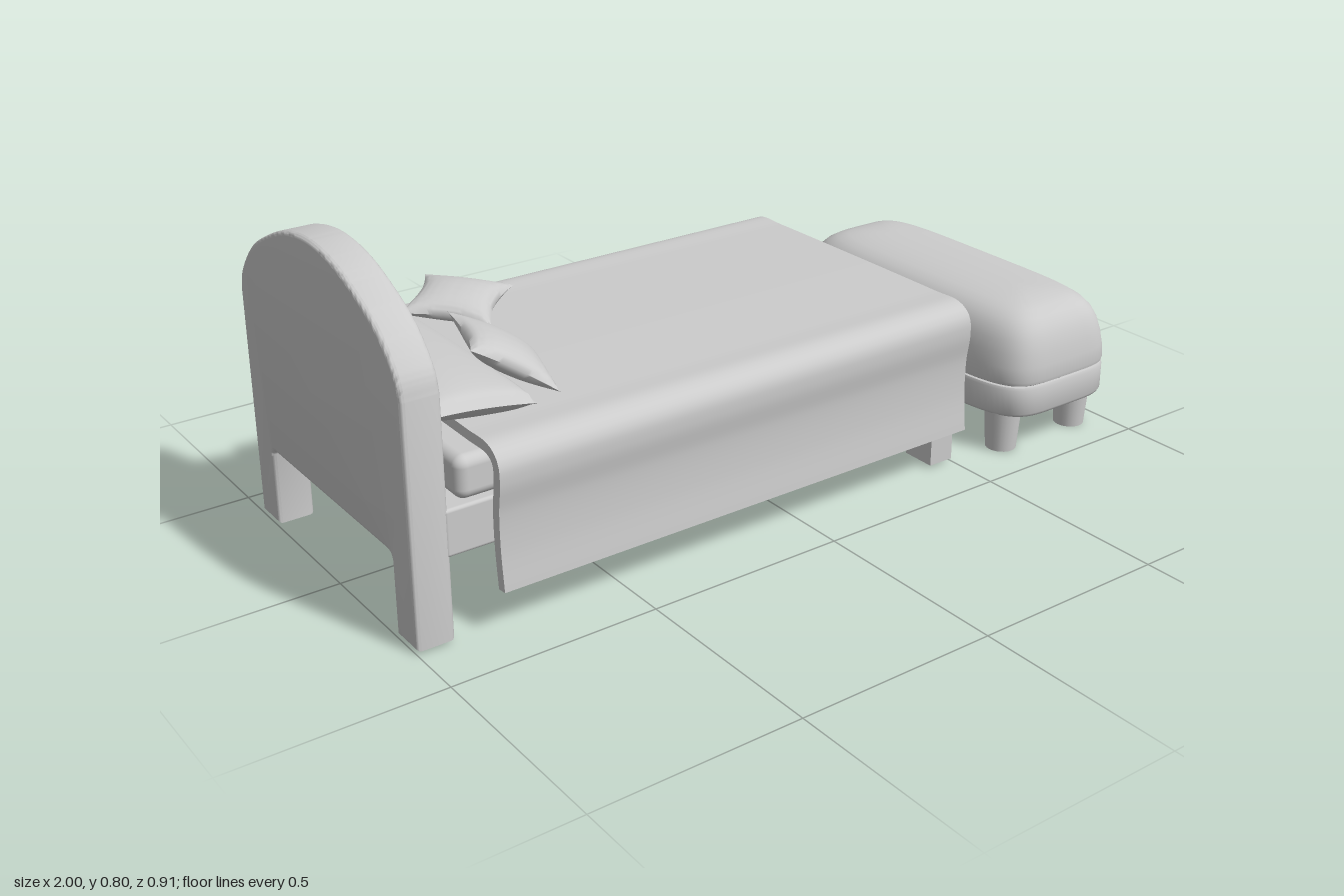
import * as THREE from 'three';
import { toCreasedNormals } from 'three/addons/utils/BufferGeometryUtils.js';
import { RoundedBoxGeometry } from 'three/addons/geometries/RoundedBoxGeometry.js';

const BED_Z = -0.025; // centre line of the bed
const STOOL = { x: 0.7975, z: 0.018, hx: 0.2025, hz: 0.438 };

const material = new THREE.MeshStandardMaterial({ color: 0xcccccc });
const openMaterial = new THREE.MeshStandardMaterial({ color: 0xcccccc, side: THREE.DoubleSide });

function add(parent, name, geometry, x = 0, y = 0, z = 0, mat = material) {
  const mesh = new THREE.Mesh(geometry, mat);
  mesh.name = name;
  mesh.position.set(x, y, z);
  parent.add(mesh);
  return mesh;
}

// Extrude a cross-section drawn across the bed along the x axis
function extrudeAlongX(shape, depth, bevel = 0, crease = 0.6) {
  const geo = new THREE.ExtrudeGeometry(shape, {
    depth: depth - 2 * bevel, curveSegments: 10, bevelEnabled: bevel > 0,
    bevelThickness: bevel, bevelSize: bevel, bevelOffset: -bevel, bevelSegments: 3,
  });
  geo.translate(0, 0, bevel).rotateY(Math.PI / 2);
  return toCreasedNormals(geo, crease);
}

// Arched board standing on two legs
function headboardGeometry() {
  const w = 0.385, leg = 0.295, bottom = 0.007, under = 0.2, f = 0.02;
  const arch = [[0.385, 0.57], [0.367, 0.625], [0.297, 0.7], [0.19, 0.757], [0.1, 0.788], [0, 0.8]];
  const right = arch.map(([x, y]) => new THREE.Vector2(x, y));
  const left = arch.slice(0, -1).reverse().map(([x, y]) => new THREE.Vector2(-x, y));
  const s = new THREE.Shape();
  s.moveTo(leg, bottom);
  s.lineTo(w, bottom);
  s.lineTo(w, 0.57);
  s.splineThru([...right.slice(1), ...left]);
  s.lineTo(-w, bottom);
  s.lineTo(-leg, bottom);
  s.lineTo(-leg, under - f);
  s.quadraticCurveTo(-leg, under, -leg + f, under);
  s.lineTo(leg - f, under);
  s.quadraticCurveTo(leg, under, leg, under - f);
  return extrudeAlongX(s, 0.09, 0.01);
}

// Thick sheet draped over the mattress, hanging in a slight wave at both sides
function blanketGeometry() {
  const half = [[0.42, 0.105], [0.411, 0.2], [0.411, 0.29], [0.42, 0.36], [0.415, 0.4],
    [0.388, 0.42], [0.3, 0.422]];
  const points = [...half, ...half.slice().reverse().map(([x, y]) => [-x, y])];
  const curve = new THREE.CatmullRomCurve3(points.map(([x, y]) => new THREE.Vector3(x, y, 0)));
  const outer = [], inner = [], n = 120, t = 0.0125;
  for (let i = 0; i <= n; i++) {
    const p = curve.getPointAt(i / n), d = curve.getTangentAt(i / n);
    outer.push(new THREE.Vector2(p.x + d.y * t, p.y - d.x * t));
    inner.push(new THREE.Vector2(p.x - d.y * t, p.y + d.x * t));
  }
  return extrudeAlongX(new THREE.Shape([...outer, ...inner.reverse()]), 1.31);
}

// Pillow: a grid puffed up in the middle, with drawn-in edges
function pillowGeometry(hx, hz, puff, pinch, power) {
  const geo = new THREE.BoxGeometry(2, 2, 2, 28, 1, 28);
  const p = geo.attributes.position;
  for (let i = 0; i < p.count; i++) {
    const u = p.getX(i), v = p.getZ(i);
    const a = Math.max(0, 1 - u * u), b = Math.max(0, 1 - v * v);
    p.setXYZ(i,
      u * hx - Math.sign(u) * u * u * b * pinch,
      Math.sign(p.getY(i)) * puff * Math.pow(a * b, power),
      v * hz - Math.sign(v) * v * v * a * pinch);
  }
  return toCreasedNormals(geo, 0.9);
}

// Stacked rounded-rectangle sections; profile entries are [inset, height]
function roundedSlab(profile, hx, hz) {
  const seg = 72, n = profile.length, e = 2 / 5;
  const geo = new THREE.LatheGeometry(profile.map(([d, y]) => new THREE.Vector2(hx - d, y)), seg);
  const p = geo.attributes.position;
  const power = (c) => Math.sign(c) * Math.pow(Math.abs(c), e);
  for (let i = 0; i <= seg; i++) {
    const a = ((i % seg) / seg) * Math.PI * 2;
    for (let j = 0; j < n; j++) {
      const d = profile[j][0];
      p.setX(i * n + j, (hx - d) * power(Math.sin(a)));
      p.setZ(i * n + j, (hz - d) * power(Math.cos(a)));
    }
  }
  return toCreasedNormals(geo, 0.75);
}

function createBed() {
  const bed = new THREE.Group();
  bed.name = 'bed';
  add(bed, 'headboard', headboardGeometry(), -1, 0, BED_Z);
  add(bed, 'bedFrame', new RoundedBoxGeometry(1.42, 0.11, 0.77, 2, 0.008), -0.21, 0.255, BED_Z);
  add(bed, 'mattress', new RoundedBoxGeometry(1.37, 0.1, 0.75, 4, 0.025), -0.195, 0.359, BED_Z);
  add(bed, 'blanket', blanketGeometry(), -0.815, 0, BED_Z);

  // Square foot legs, open underneath
  for (const side of [-1, 1]) {
    const leg = new THREE.CylinderGeometry(Math.SQRT1_2, Math.SQRT1_2, 1, 4, 1, true);
    leg.rotateY(Math.PI / 4).scale(0.07, 0.29, 0.09);
    add(bed, 'footLeg', toCreasedNormals(leg, 0.5), 0.465, 0.152, BED_Z + side * 0.34, openMaterial);
  }

  // Long pillow and two loose cushions
  const pillow = add(bed, 'pillow', pillowGeometry(0.123, 0.345, 0.047, 0.012, 0.32), -0.788, 0.483, BED_Z);
  pillow.rotation.z = -0.13;
  const flat = add(bed, 'flatCushion', pillowGeometry(0.112, 0.112, 0.034, 0.018, 0.5), -0.513, 0.465, -0.299);
  flat.rotation.set(0.09, Math.PI / 4, 0);
  const leaning = add(bed, 'leaningCushion', pillowGeometry(0.114, 0.116, 0.036, 0.018, 0.5), -0.622, 0.498, 0.105);
  leaning.rotation.set(0, -0.3, -0.57, 'YZX');
  return bed;
}

function createFootstool() {
  const stool = new THREE.Group();
  stool.name = 'footstool';
  stool.position.set(STOOL.x, 0, STOOL.z);
  const { hx, hz } = STOOL;
  const base = [[hx, 0.103], [0.012, 0.103], [0.004, 0.106], [0, 0.114], [0, 0.178],
    [0.003, 0.185], [0.01, 0.187], [hx, 0.187]];
  const cushion = [[hx, 0.187], [0.008, 0.187], [0.002, 0.191], [0, 0.2], [0.003, 0.235], [0.009, 0.27],
    [0.018, 0.302], [0.031, 0.328], [0.048, 0.347], [0.07, 0.361], [0.095, 0.369], [0.13, 0.375],
    [0.165, 0.378], [hx, 0.379]];
  add(stool, 'stoolBase', roundedSlab(base, hx, hz));
  add(stool, 'stoolCushion', roundedSlab(cushion, hx, hz));

  // Tapered feet, open underneath
  for (const sx of [-1, 1]) {
    for (const sz of [-1, 1]) {
      const foot = new THREE.CylinderGeometry(0.047, 0.039, 0.108, 24, 1, true);
      add(stool, 'stoolFoot', foot, -0.01 + sx * 0.124, 0.054, 0.003 + sz * 0.349, openMaterial);
    }
  }
  return stool;
}

export function createModel() {
  const model = new THREE.Group();
  model.name = 'bedWithFootstool';
  model.add(createBed(), createFootstool());
  return model;
}
